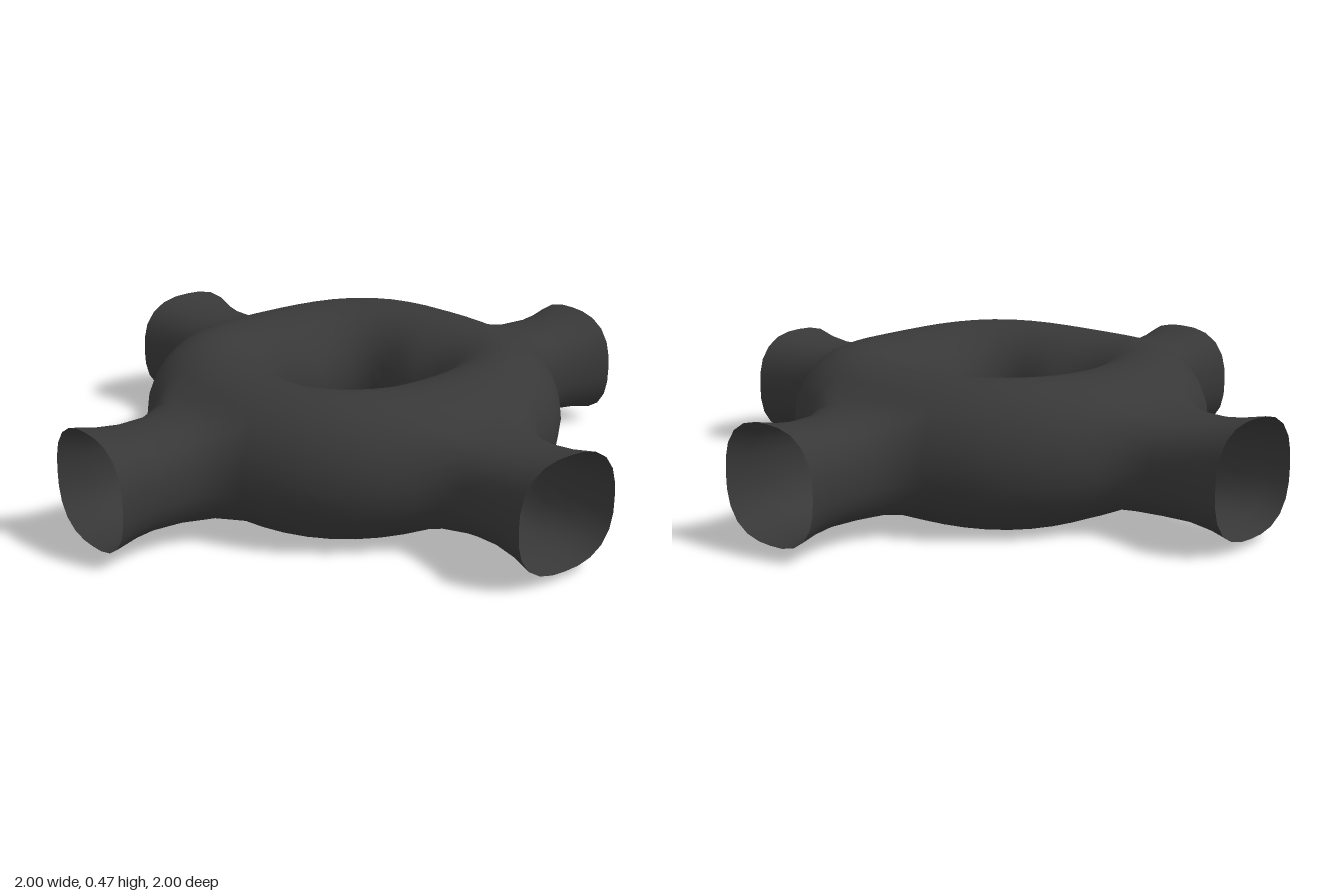
import * as THREE from 'three';

const NU = 48, NV = 24, HOLE = 3, LOOP = 24; // grid steps round the ring, round its tube, half opening, pipe loop
const MID_Y = 0.24, PIPE_Y = 0.218;

// point on the hollow ring; u runs round the ring, v round the tube
function ringPoint(u, v) {
  const inner = 0.235 - 0.032 * Math.cos(4 * u); // squarish centre hole
  const outer = 0.68;
  const half = (outer - inner) / 2;
  const h = 0.228 - 0.005 * Math.cos(4 * u);
  const r = (inner + outer) / 2 + half * Math.cos(v);
  return new THREE.Vector3(r * Math.cos(u), MID_Y + h * Math.sin(v), r * Math.sin(u));
}

// rounded-square pipe section at distance x from the centre
function pipePoint(x, halfZ, halfY, t) {
  const c = Math.cos(t), s = Math.sin(t), n = 2.6;
  const k = Math.pow(Math.abs(c) ** n + Math.abs(s) ** n, -1 / n);
  return new THREE.Vector3(x, PIPE_Y + halfY * k * s, halfZ * k * c);
}

export function createModel() {
  const charcoal = new THREE.MeshStandardMaterial({ color: 0x383838, side: THREE.DoubleSide });
  charcoal.name = 'charcoal';

  const positions = [];
  const add = (p) => positions.push(p.x, p.y, p.z) / 3 - 1;
  const quad = (list, a, b, c, d) => list.push(a, b, c, a, c, d);
  const step = Math.PI * 2;
  const id = (i, j) => ((i + NU) % NU) * NV + ((j + NV) % NV);

  // ring shell, left open where the four pipes join
  for (let i = 0; i < NU; i++)
    for (let j = 0; j < NV; j++) add(ringPoint((i / NU) * step, (j / NV) * step));
  const ring = [];
  for (let i = 0; i < NU; i++) {
    for (let j = 0; j < NV; j++) {
      const du = (i + HOLE) % (NU / 4), dv = (j + HOLE) % NV;
      if (du < 2 * HOLE && dv < 2 * HOLE) continue;
      quad(ring, id(i, j), id(i, j + 1), id(i + 1, j + 1), id(i + 1, j));
    }
  }

  // flared open pipes: distance, half width, half height
  const sections = [[0.74, 0.171, 0.159], [0.84, 0.166, 0.157], [0.92, 0.174, 0.166], [1, 0.193, 0.183]];
  const up = new THREE.Vector3(0, 1, 0);
  const pipes = [];
  for (let arm = 0; arm < 4; arm++) {
    const place = (p) => add(p.applyAxisAngle(up, (-arm * Math.PI) / 2));
    const rows = [[], [], ...sections.map(() => [])];
    for (let k = 0; k < LOOP; k++) {
      const t = (k / LOOP) * step, c = Math.cos(t), s = Math.sin(t);
      const m = Math.max(Math.abs(c), Math.abs(s));
      const du = Math.round((HOLE * c) / m), dv = Math.round((HOLE * s) / m);
      rows[0].push(id((arm * NU) / 4 + du, dv)); // shares the rim of the opening
      const rim = ringPoint((du / NU) * step, (dv / NV) * step);
      const first = pipePoint(...sections[0], t);
      const blend = rim.clone().lerp(first, 0.66); // concave fillet
      blend.x = THREE.MathUtils.lerp(rim.x, first.x, 0.45);
      rows[1].push(place(blend));
      sections.forEach((sec, n) => rows[n + 2].push(place(pipePoint(...sec, t))));
    }
    const faces = [];
    for (let r = 0; r < rows.length - 1; r++)
      for (let k = 0; k < LOOP; k++) {
        const n = (k + 1) % LOOP;
        quad(faces, rows[r][k], rows[r + 1][k], rows[r + 1][n], rows[r][n]);
      }
    pipes.push(faces);
  }

  // normals are worked out on the joined skin so the seams stay smooth
  const skin = new THREE.BufferGeometry();
  skin.setAttribute('position', new THREE.Float32BufferAttribute(positions, 3));
  skin.setIndex([...ring, ...pipes.flat()]);
  skin.computeVertexNormals();

  const group = new THREE.Group();
  group.name = 'pipeJunction';
  const addPart = (name, faces) => {
    const part = skin.clone().setIndex(faces);
    const mesh = new THREE.Mesh(part, charcoal);
    mesh.name = name;
    group.add(mesh);
  };
  addPart('ring', ring);
  ['leftPipe', 'frontPipe', 'rightPipe', 'backPipe'].forEach((name, n) => addPart(name, pipes[n]));
  return group;
}
